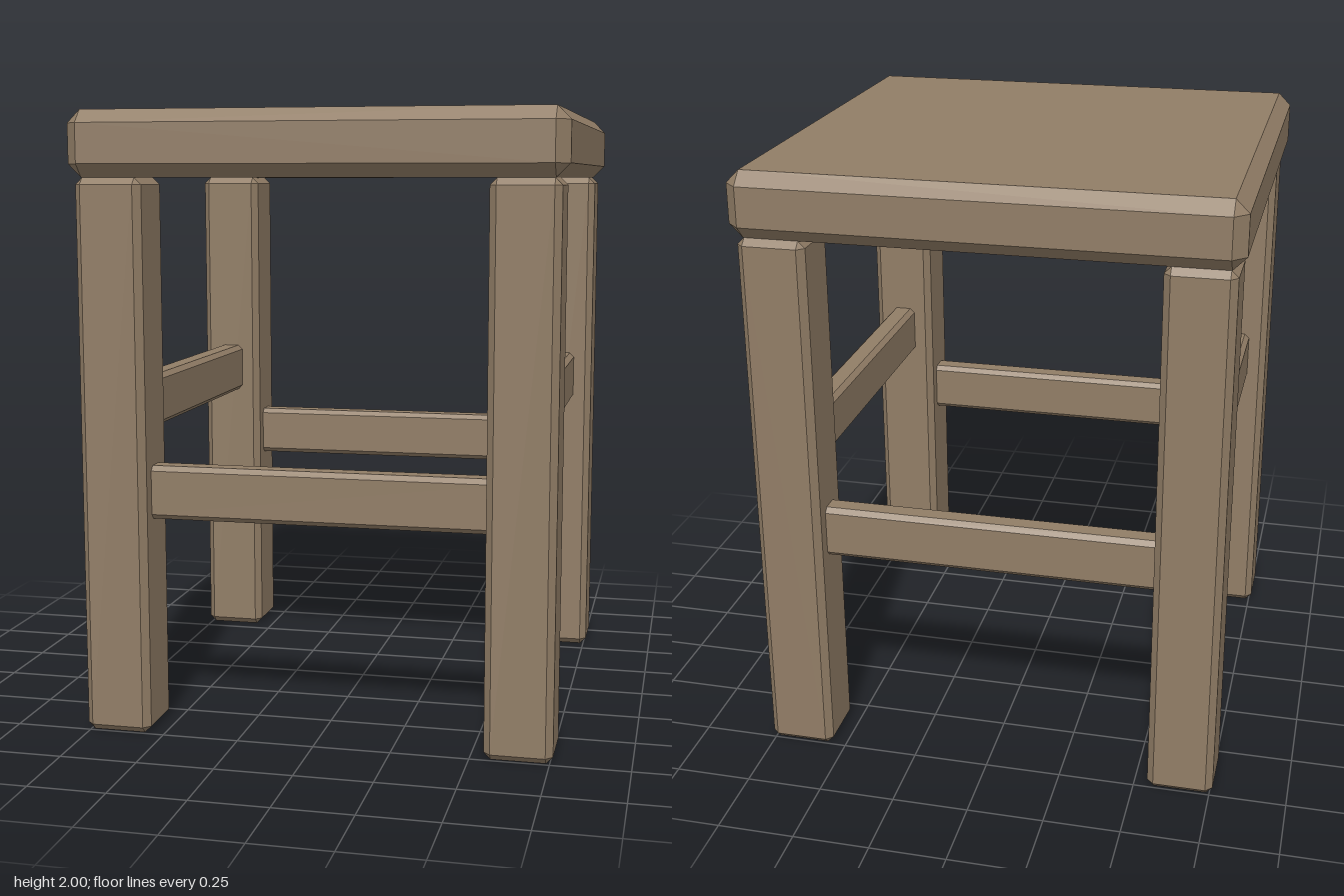
import * as THREE from 'three';
import { ConvexGeometry } from 'three/addons/geometries/ConvexGeometry.js';

// Box with every edge and corner cut at 45 degrees
function chamferBox(w, h, d, c) {
  const half = [w / 2, h / 2, d / 2];
  const points = [];
  for (const sx of [-1, 1]) for (const sy of [-1, 1]) for (const sz of [-1, 1]) {
    for (let outer = 0; outer < 3; outer++) {
      const [x, y, z] = half.map((v, i) => (i === outer ? v : v - c));
      points.push(new THREE.Vector3(sx * x, sy * y, sz * z));
    }
  }
  return new ConvexGeometry(points);
}

export function createModel() {
  const stool = new THREE.Group();
  stool.name = 'stool';
  const wood = new THREE.MeshStandardMaterial({ color: 0x917d66 });
  wood.name = 'brown wood';

  const add = (name, geometry, x, y, z) => {
    const mesh = new THREE.Mesh(geometry, wood);
    mesh.name = name;
    mesh.position.set(x, y, z);
    stool.add(mesh);
    return mesh;
  };

  // Seat slab
  add('seat', chamferBox(1.564, 0.21, 1.564, 0.042), 0, 1.895, 0);

  // Four square legs
  const legOffset = 0.652;
  const leg = chamferBox(0.216, 1.79, 0.216, 0.022);
  for (const [zName, z] of [['front', 1], ['back', -1]]) {
    for (const [xName, x] of [['Left', 1], ['Right', -1]]) {
      add(`${zName}${xName}Leg`, leg, x * legOffset, 0.895, z * legOffset);
    }
  }

  // Stretchers: low at the front and back, higher at the sides, ends set into the legs
  const rail = chamferBox(1.16, 0.174, 0.087, 0.016);
  add('frontStretcher', rail, 0, 0.787, legOffset);
  add('backStretcher', rail, 0, 0.787, -legOffset);
  add('leftStretcher', rail, legOffset, 1.048, 0).rotation.y = Math.PI / 2;
  add('rightStretcher', rail, -legOffset, 1.048, 0).rotation.y = Math.PI / 2;

  return stool;
}
